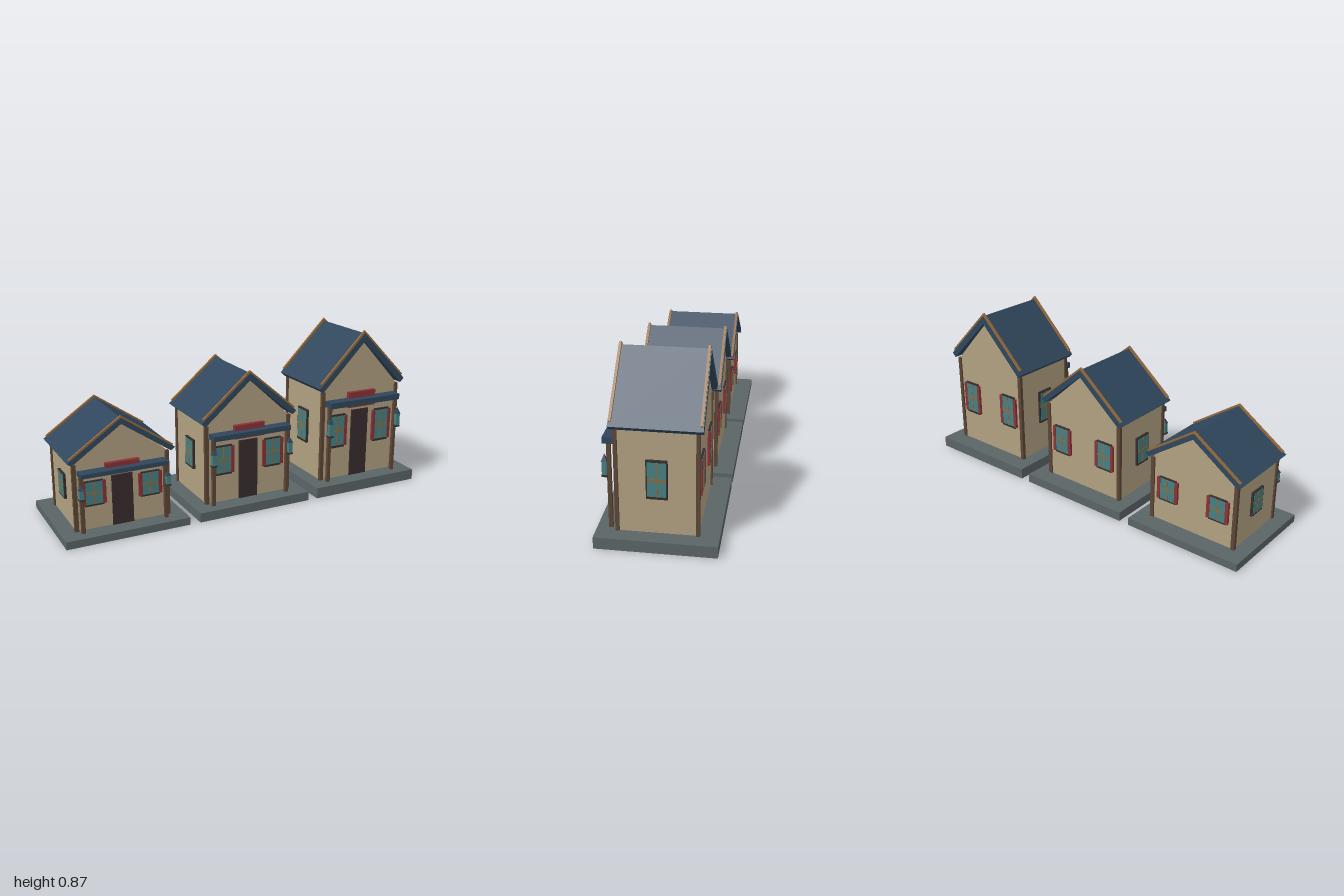
import * as THREE from 'three';

const mat = (name, color) => Object.assign(new THREE.MeshStandardMaterial({ color }), { name });

export function createModel() {
  const M = {
    stone: mat('stone grey', 0x5a6466),
    wall: mat('sandy plaster', 0xb0a080),
    roof: mat('slate blue', 0x2f465c),
    trim: mat('golden wood', 0x94683a),
    post: mat('brown timber', 0x5d4636),
    red: mat('red paint', 0x8a3236),
    dark: mat('dark wood', 0x382d2d),
    glass: mat('teal glass', 0x458083),
  };

  const add = (parent, name, geo, material) => {
    const mesh = new THREE.Mesh(geo, material);
    mesh.name = name;
    parent.add(mesh);
    return mesh;
  };

  // Box given by its limits on each axis
  const box = (parent, name, material, [x0, x1], [y0, y1], [z0, z1]) => {
    const mesh = add(parent, name, new THREE.BoxGeometry(x1 - x0, y1 - y0, z1 - z0), material);
    mesh.position.set((x0 + x1) / 2, (y0 + y1) / 2, (z0 + z1) / 2);
    return mesh;
  };

  // Outline in x and y, pushed along z
  const prism = (parent, name, material, points, z0, z1) => {
    const shape = new THREE.Shape(points.map(([x, y]) => new THREE.Vector2(x, y)));
    const geo = new THREE.ExtrudeGeometry(shape, { depth: z1 - z0, bevelEnabled: false });
    geo.translate(0, 0, z0);
    return add(parent, name, geo, material);
  };

  // Upside-down V with square-cut ends, used for the roof and its edge trim
  const chevron = (ridge, half, t, slope = 1.01) => {
    const L = Math.hypot(1, slope), eave = ridge - slope * half;
    const ix = half - t * slope / L, iy = eave - t / L;
    return [[0, ridge], [-half, eave], [-ix, iy], [0, ridge - t * L], [ix, iy], [half, eave]];
  };

  // Window lying on the plane z = 0 and facing +z
  const makeWindow = (shutters) => {
    const w = new THREE.Group();
    w.name = 'window';
    box(w, 'windowFrame', M.dark, [-0.048, 0.048], [0.232, 0.42], [-0.004, 0.009]);
    box(w, 'windowGlass', M.glass, [-0.042, 0.042], [0.245, 0.411], [0.004, 0.0105]);
    box(w, 'uprightBar', M.trim, [-0.003, 0.003], [0.245, 0.411], [0.005, 0.012]);
    box(w, 'crossBar', M.trim, [-0.042, 0.042], [0.322, 0.333], [0.005, 0.012]);
    if (shutters) for (const s of [-1, 1]) {
      box(w, 'shutter', M.red, [s * 0.051 - 0.009, s * 0.051 + 0.009], [0.241, 0.412], [-0.004, 0.0125]);
    }
    return w;
  };

  const makeHouse = () => {
    const h = new THREE.Group();
    h.name = 'house';

    // Base slab and gabled body
    box(h, 'base', M.stone, [-0.315, 0.315], [0, 0.057], [-0.278, 0.278]);
    prism(h, 'walls', M.wall,
      [[-0.237, 0.05], [0.237, 0.05], [0.237, 0.553], [0, 0.812], [-0.237, 0.553]], -0.182, 0.182);

    // Roof with a raised strip at each gable
    prism(h, 'roof', M.roof, chevron(0.853, 0.271, 0.031), -0.206, 0.206);
    for (const z of [-0.197, 0.197]) {
      prism(h, 'gableTrim', M.trim, chevron(0.868, 0.262, 0.0107), z - 0.006, z + 0.006);
    }

    // Corner posts
    for (const x of [-0.235, 0.235]) for (const z of [-0.181, 0.181]) {
      box(h, 'cornerPost', M.post, [x - 0.01, x + 0.01], [0.05, 0.553], [z - 0.009, z + 0.009]);
    }

    // Door, sign board and porch
    box(h, 'door', M.dark, [-0.053, 0.053], [0.05, 0.433], [0.18, 0.19]);
    box(h, 'signBoard', M.red, [-0.085, 0.085], [0.452, 0.537], [0.18, 0.205]);
    box(h, 'porchRoof', M.roof, [-0.22, 0.22], [0.473, 0.504], [0.18, 0.243]);
    for (const x of [-0.212, 0.212]) {
      box(h, 'porchPost', M.post, [x - 0.009, x + 0.009], [0.05, 0.475], [0.207, 0.225]);
      // Lantern hung on the outer front of the post
      const lx = x * 1.03;
      const lantern = new THREE.Group();
      lantern.name = 'lantern';
      lantern.position.set(lx, 0, 0.235);
      box(lantern, 'lanternBase', M.dark, [-0.013, 0.013], [0.315, 0.325], [-0.013, 0.013]);
      box(lantern, 'lanternGlass', M.glass, [-0.011, 0.011], [0.325, 0.39], [-0.011, 0.011]);
      const cap = add(lantern, 'lanternCap', new THREE.ConeGeometry(0.019, 0.035, 4).toNonIndexed(), M.roof);
      cap.geometry.computeVertexNormals();
      cap.rotation.y = Math.PI / 4;
      cap.position.y = 0.4075;
      h.add(lantern);
    }

    // Shuttered windows front and back, plain ones on the sides
    for (const s of [-1, 1]) {
      for (const x of [-0.143, 0.143]) {
        const w = makeWindow(true);
        w.position.set(x, 0, s * 0.182);
        if (s < 0) w.rotation.y = Math.PI;
        h.add(w);
      }
      const side = makeWindow(false);
      side.position.x = s * 0.24;
      side.rotation.y = s * Math.PI / 2;
      h.add(side);
    }
    return h;
  };

  // Row of three houses growing in height
  const row = new THREE.Group();
  row.name = 'houseRow';
  [['shortHouse', -0.685, 0.68], ['middleHouse', 0, 0.84], ['tallHouse', 0.685, 1]].forEach(([name, x, sy]) => {
    const house = makeHouse();
    house.name = name;
    house.position.x = x;
    house.scale.y = sy;
    row.add(house);
  });
  return row;
}
